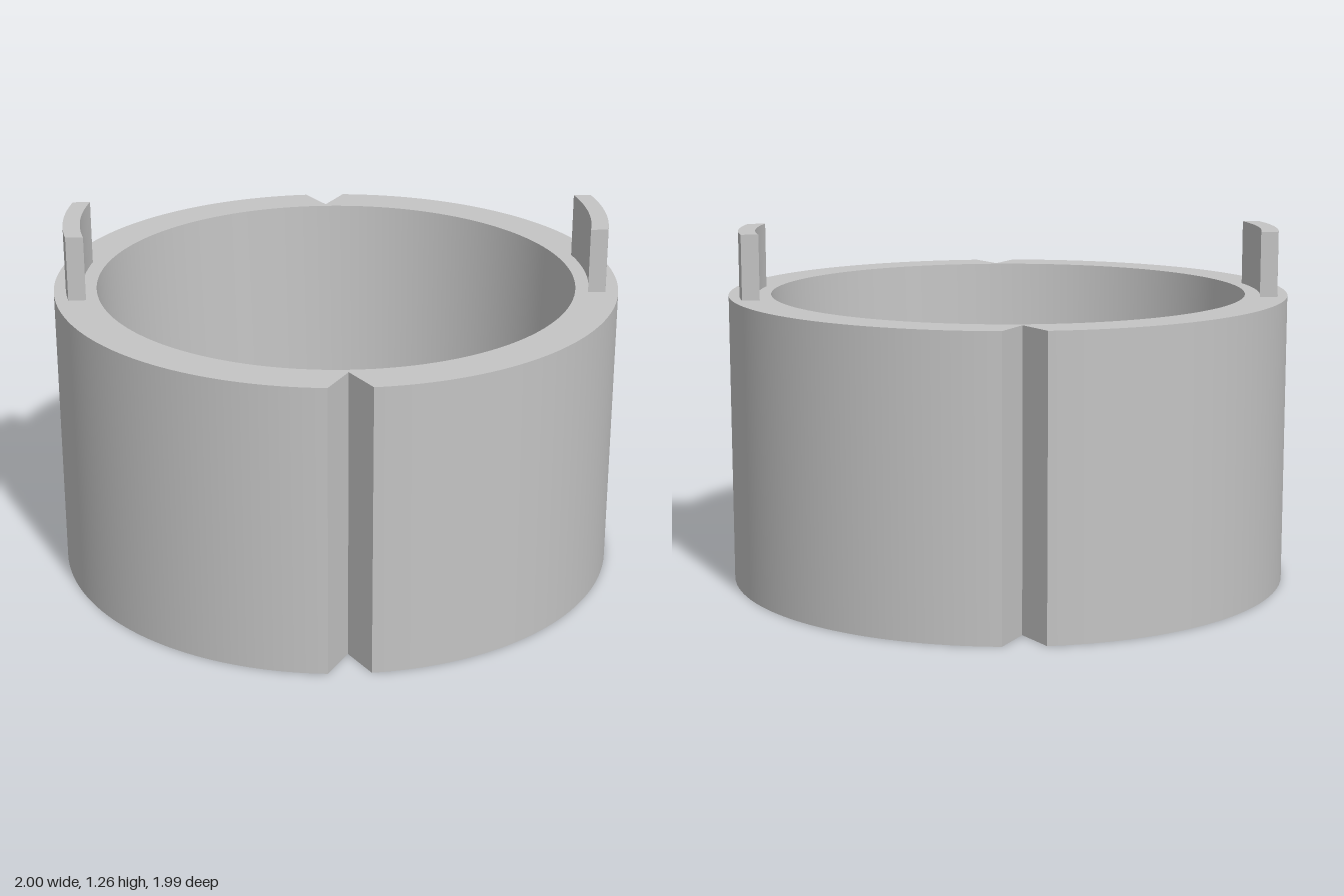
import * as THREE from 'three';
import { toCreasedNormals } from 'three/addons/utils/BufferGeometryUtils.js';

const HEIGHT = 1.03, TAB_HEIGHT = 0.23;
const BORE_TOP = 0.85, BORE_BOTTOM = 0.815;
const NOTCH_HALF = 0.073, NOTCH_DEPTH_RADIUS = 0.87;

// Extrude a plan shape upwards; shape y becomes -z
function extrudeUp(shape, depth, curveSegments) {
  const geo = new THREE.ExtrudeGeometry(shape, { depth, bevelEnabled: false, curveSegments });
  geo.rotateX(-Math.PI / 2);
  return geo;
}

// Ring wall with V notches front and back and a tapered bore
function ringGeometry() {
  const a = Math.asin(NOTCH_HALF);
  const shape = new THREE.Shape();
  shape.moveTo(0, -NOTCH_DEPTH_RADIUS);
  shape.lineTo(Math.sin(a), -Math.cos(a));
  shape.absarc(0, 0, 1, -Math.PI / 2 + a, Math.PI / 2 - a, false);
  shape.lineTo(0, NOTCH_DEPTH_RADIUS);
  shape.lineTo(-Math.sin(a), Math.cos(a));
  shape.absarc(0, 0, 1, Math.PI / 2 + a, Math.PI * 1.5 - a, false);
  shape.closePath();
  const bore = new THREE.Path();
  bore.absarc(0, 0, BORE_TOP, 0, Math.PI * 2, true);
  shape.holes.push(bore);

  const geo = extrudeUp(shape, HEIGHT, 64);
  // Narrow the bore at the base
  const p = geo.attributes.position;
  const k = BORE_BOTTOM / BORE_TOP;
  for (let i = 0; i < p.count; i++) {
    const r = Math.hypot(p.getX(i), p.getZ(i));
    if (p.getY(i) < 0.01 && r < BORE_TOP + 0.005) {
      p.setX(i, p.getX(i) * k);
      p.setZ(i, p.getZ(i) * k);
    }
  }
  return toCreasedNormals(geo, 0.4);
}

// Curved tab with ends cut square to the side axis
function tabGeometry() {
  const half = 0.198, outer = 0.96, inner = 0.9;
  const ao = Math.asin(half / outer), ai = Math.asin(half / inner);
  const shape = new THREE.Shape();
  shape.absarc(0, 0, outer, -ao, ao, false);
  shape.absarc(0, 0, inner, ai, -ai, true);
  shape.closePath();
  return toCreasedNormals(extrudeUp(shape, TAB_HEIGHT, 12), 0.4);
}

export function createModel() {
  const group = new THREE.Group();
  const grey = new THREE.MeshStandardMaterial({ color: 0xc4c4c4 });
  grey.name = 'grey';

  const ring = new THREE.Mesh(ringGeometry(), grey);
  ring.name = 'notchedRing';
  group.add(ring);

  // Two upright tabs on the rim
  const tab = tabGeometry();
  for (const [name, turn] of [['leftTab', 0], ['rightTab', Math.PI]]) {
    const mesh = new THREE.Mesh(tab, grey);
    mesh.name = name;
    mesh.rotation.y = turn;
    mesh.position.set(0, HEIGHT, -0.025);
    group.add(mesh);
  }
  return group;
}
